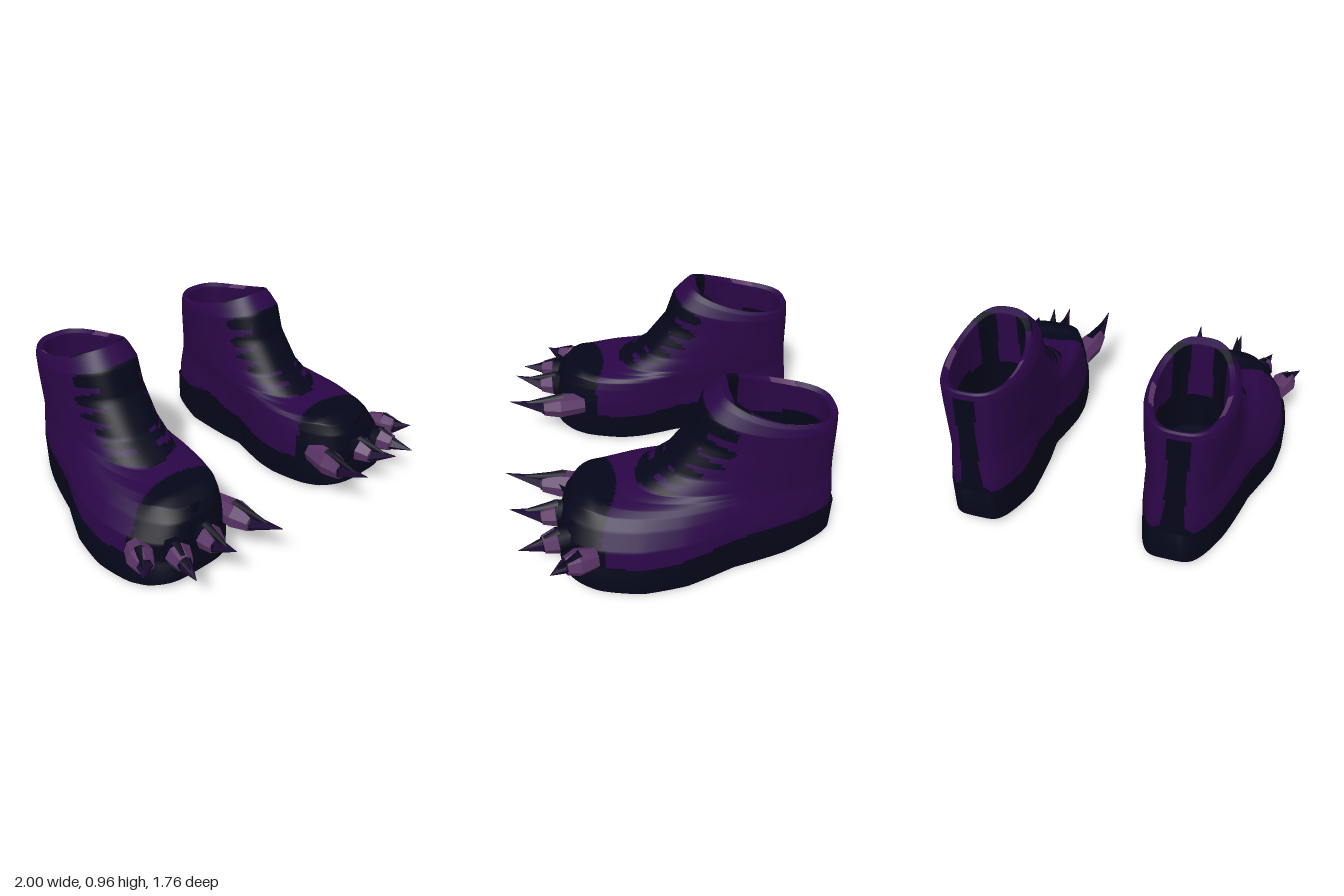
import * as THREE from 'three';

const mat = (name, color, extra = {}) => Object.assign(new THREE.MeshStandardMaterial({ color, ...extra }), { name });
const SEG = 144;

// piecewise linear lookup in [[key, value], ...]
function lookup(table, k) {
  if (k <= table[0][0]) return table[0][1];
  for (let i = 1; i < table.length; i++) {
    const [k0, v0] = table[i - 1], [k1, v1] = table[i];
    if (k <= k1) return v0 + (v1 - v0) * (k - k0) / (k1 - k0);
  }
  return table[table.length - 1][1];
}
const hump = (v, centre, width) => Math.exp(-(((v - centre) / width) ** 2));

// foot plan: outer edge, inner edge, underside and sole top along z
const OUTER = [[-0.89, 0.72], [-0.64, 0.78], [-0.3, 0.845], [-0.04, 0.942], [0.19, 0.988], [0.42, 1.0], [0.6, 0.97]];
const INNER = [[-0.89, 0.32], [-0.6, 0.295], [-0.3, 0.318], [-0.16, 0.335], [0.08, 0.276], [0.2, 0.26], [0.42, 0.252], [0.6, 0.28]];
const UNDER = [[-0.88, 0.035], [-0.59, 0], [-0.1, 0.005], [0.2, 0.01], [0.5, 0.03], [0.61, 0.06]];
const SOLE_TOP = [[-0.88, 0.21], [-0.3, 0.2], [0, 0.17], [0.25, 0.16], [0.4, 0.175], [0.61, 0.175]];

// one closed outline; t blends the foot plan (0) into the ankle oval (1)
function ring({ yF = 0, yB = 0, zF, zB, t = 0, xI = 0.3, xO = 0.757, yAt }) {
  const pts = [];
  for (let i = 0; i < SEG; i++) {
    const a = i / SEG * Math.PI * 2, c = Math.cos(a), s = Math.sin(a);
    const z = (zF + zB) / 2 + (zF - zB) / 2 * c;
    const hi = THREE.MathUtils.lerp(lookup(OUTER, z), xO, t), lo = THREE.MathUtils.lerp(lookup(INNER, z), xI, t);
    const round = THREE.MathUtils.lerp(c > 0 ? 0.5 : 0.4, 0.73, t);
    const side = Math.sign(s) * Math.pow(Math.abs(s), round);
    let y = yAt ? lookup(yAt, z) : yB + (yF - yB) * Math.pow((1 + c) / 2, 1.9);
    // swelling of the toe cap
    if (!yAt && y > 0.36) y += 0.024 * hump(z, 0.44, 0.07) * Math.min(1, (y - 0.36) / 0.06);
    pts.push([(hi + lo) / 2 + (hi - lo) / 2 * side, y, z]);
  }
  return pts;
}

// skin over rings, sorting faces into material groups by a rule
function loft(rows, s, pick = () => 0, count = 1) {
  const pos = [], buckets = Array.from({ length: count }, () => []);
  rows.forEach(r => r.forEach(p => pos.push(p[0] * s, p[1], p[2])));
  for (let j = 0; j < rows.length - 1; j++) for (let i = 0; i < SEG; i++) {
    const n = (i + 1) % SEG, q = [rows[j][i], rows[j][n], rows[j + 1][n], rows[j + 1][i]];
    const m = [0, 1, 2].map(k => (q[0][k] + q[1][k] + q[2][k] + q[3][k]) / 4);
    const a = j * SEG + i, b = j * SEG + n, c = b + SEG, d = a + SEG;
    buckets[pick(...m, j)].push(...(s > 0 ? [a, b, c, a, c, d] : [a, c, b, a, d, c]));
  }
  const g = new THREE.BufferGeometry();
  g.setAttribute('position', new THREE.Float32BufferAttribute(pos, 3));
  g.setIndex(buckets.flat());
  let start = 0;
  buckets.forEach((b, k) => { g.addGroup(start, b.length, k); start += b.length; });
  g.computeVertexNormals();
  return g;
}

// upper from sole line to rim, then down inside
const UPPER = [
  [0.13, 0.16, 0.59, -0.872, 0.05], [0.27, 0.28, 0.585, -0.87, 0.14], [0.36, 0.36, 0.56, -0.862, 0.38],
  [0.405, 0.41, 0.525, -0.857, 0.57], [0.426, 0.43, 0.43, -0.855, 0.68], [0.432, 0.455, 0.3, -0.853, 0.77],
  [0.448, 0.49, 0.19, -0.85, 0.85], [0.54, 0.56, 0.04, -0.847, 0.95], [0.72, 0.68, -0.1, -0.843, 1],
  [0.87, 0.78, -0.15, -0.838, 1], [0.935, 0.81, -0.21, -0.835, 1, 0.315, 0.74], [0.965, 0.822, -0.24, -0.828, 1, 0.33, 0.725],
  [0.945, 0.805, -0.285, -0.8, 1, 0.355, 0.7], [0.6, 0.55, -0.28, -0.8, 1, 0.35, 0.705], [0.4, 0.4, -0.28, -0.8, 1, 0.36, 0.7],
];
const STEPS = 10, RIM = 11 * STEPS;

function upperRows() {
  const rows = [];
  for (let k = 0; k < UPPER.length - 1; k++) for (let u = 0; u < STEPS; u++) {
    const v = [0, 1, 2, 3, 4, 5, 6].map(i => {
      const d = [0, 0, 0, 0, 0, 0.3, 0.757][i];
      return THREE.MathUtils.lerp(UPPER[k][i] ?? d, UPPER[k + 1][i] ?? d, u / STEPS);
    });
    rows.push(ring({ yF: v[0], yB: v[1], zF: v[2], zB: v[3], t: v[4], xI: v[5], xO: v[6] }));
  }
  rows.push(rows[0].map(() => [0.53, 0.4, -0.54]));
  return rows;
}

// colour rule: 0 leather, 1 dark trim, 2 pale rim
const LACES = [[6.3, 0.16], [6.85, 0.17], [7.25, 0.17], [7.65, 0.17], [8.15, 0.24], [8.9, 0.3]];
function upperColour(x, y, z, row) {
  // rim and lining
  if (row >= RIM - 3 && z < -0.29 && z > -0.36) return 1;
  if (row >= RIM) {
    if (row < RIM + STEPS && z < -0.54 && z > -0.67) return 2;
    return y < 0.65 ? 1 : 0;
  }
  const u = Math.abs(x - (z > 0 ? 0.555 : 0.535)), level = (row + 0.5) / STEPS;
  // toe cap
  if (z > 0.29 + 1.1 * u * u || (z > 0.38 && y < 0.32)) return 1;
  // sole edge, rising at the inner heel
  if (y < lookup(SOLE_TOP, z) + 0.01 + (x < 0.5 ? 0.05 * hump(z, -0.45, 0.14) : 0)) return 1;
  // heel strip
  if (z < -0.72 && y < 0.78 && u < 0.052 + Math.max(0, 0.27 - y)) return 1;
  // tongue and laces, drooping towards the sides
  if (level > 6 && level < 9.25 && z > -0.3) {
    if (u < (level > 7.4 ? 0.12 : 0.06)) return 1;
    const reach = level > 7.4 ? 0.205 : 0.19, droop = 2 * Math.max(0, u - 0.1);
    if (u < reach && LACES.some(([c, h]) => Math.abs(level - c + droop) < h * Math.sqrt(1 - (u / reach) ** 8))) return 1;
  }
  return 0;
}

// tapered spike or segment between two points
function taper(name, from, to, r0, r1, sides, material, s) {
  const a = new THREE.Vector3(from[0] * s, from[1], from[2]), b = new THREE.Vector3(to[0] * s, to[1], to[2]);
  const m = new THREE.Mesh(new THREE.CylinderGeometry(r1, r0, a.distanceTo(b), sides), material);
  m.position.copy(a).lerp(b, 0.5);
  m.quaternion.setFromUnitVectors(new THREE.Vector3(0, 1, 0), b.clone().sub(a).normalize());
  m.name = name;
  return m;
}

// toe root, toe end, claw tip, radius, whether the knuckle is bare
const TOES = [
  [[0.37, 0.24, 0.43], [0.338, 0.25, 0.68], [0.32, 0.325, 0.875], 0.076, true],
  [[0.57, 0.26, 0.5], [0.585, 0.25, 0.69], [0.595, 0.32, 0.845], 0.074, false],
  [[0.74, 0.25, 0.5], [0.78, 0.24, 0.68], [0.81, 0.24, 0.805], 0.07, false],
  [[0.885, 0.23, 0.42], [0.935, 0.24, 0.57], [1.0, 0.255, 0.645], 0.072, true],
];

export function createModel() {
  const leather = mat('purple leather', 0x2a0646);
  const trim = mat('midnight trim', 0x050619);
  const pale = mat('mauve toe', 0x583364, { flatShading: true });
  const claw = mat('dark claw', 0x1d0a33, { flatShading: true });
  const model = new THREE.Group();

  for (const s of [1, -1]) {
    const boot = new THREE.Group();
    boot.name = s > 0 ? 'leftBoot' : 'rightBoot';
    const add = (name, geo, m) => { const o = new THREE.Mesh(geo, m); o.name = name; boot.add(o); };

    // sole: wall with inset ledge, and a separate underside for a sharp edge
    const bottom = ring({ zF: 0.605, zB: -0.883, yAt: UNDER });
    add('soleWall', loft([bottom, ring({ zF: 0.612, zB: -0.885, yAt: SOLE_TOP }), ring({ zF: 0.56, zB: -0.84, t: 0.15, yAt: SOLE_TOP })], s), trim);
    const inner = bottom.map(([x, y, z]) => [0.58 + (x - 0.58) * 0.5, lookup(UNDER, z * 0.6), z * 0.5 - 0.07]);
    add('soleUnderside', loft([inner.map(() => [0.58, 0.005, -0.14]), inner, bottom], s), trim);

    add('upper', loft(upperRows(), s, upperColour, 3), [leather, trim, pale]);

    // clawed toes with a knuckle, a blunt end, a dark cuff and a dark nail ridge on top
    for (const [root, end, tip, r, bare] of TOES) {
      const mix = (a, b, k, up = 0) => a.map((v, i) => v + (b[i] - v) * k + (i === 1 ? up : 0));
      boot.add(taper('toeBase', root, mix(root, end, 0.6), r * 0.8, r, 7, bare ? pale : trim, s));
      boot.add(taper('toeEnd', mix(root, end, 0.6), end, r, r * 0.68, 7, pale, s));
      boot.add(taper('clawCuff', mix(root, end, 0.92), mix(root, end, 1.04), r * 0.62, r * 0.56, 6, trim, s));
      boot.add(taper('claw', end, tip, r * 0.55, 0.001, 5, claw, s));
      boot.add(taper('nailRidge', mix(root, end, 0.5, r * 0.72), mix(end, tip, 0.5, r * 0.15), r * 0.42, r * 0.12, 5, trim, s));
    }
    // small thorn on the toe cap
    boot.add(taper('thorn', [0.6, 0.39, 0.53], [0.6, 0.475, 0.578], 0.025, 0.001, 5, trim, s));
    model.add(boot);
  }
  return model;
}
